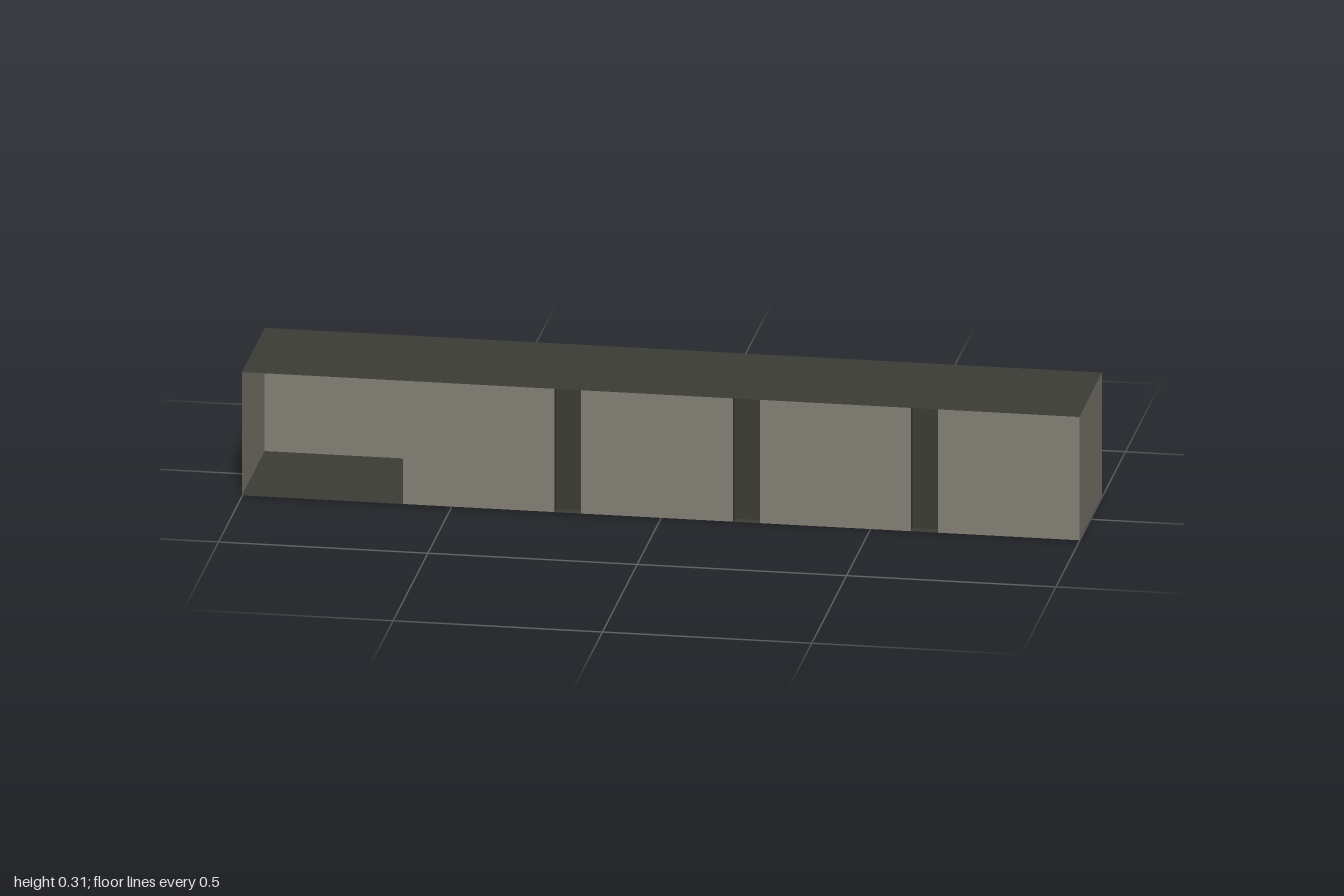
import * as THREE from 'three';

const HALF_X = 1, HALF_Z = 0.164, BASE = 0.003, TOP = 0.31;
const CHANNEL_DEPTH = 0.022;

export function createModel() {
  const model = new THREE.Group();
  model.name = 'containerShell';

  const wall = new THREE.MeshStandardMaterial({ color: 0x827e74, side: THREE.DoubleSide });
  wall.name = 'wall grey';
  const dark = new THREE.MeshStandardMaterial({ color: 0x3c3c36, side: THREE.DoubleSide });
  dark.name = 'dark frame';

  // Flat sheet placed in a parent group
  function sheet(name, parent, material, w, h, position, rotation = [0, 0, 0]) {
    const mesh = new THREE.Mesh(new THREE.PlaneGeometry(w, h), material);
    mesh.name = name;
    mesh.position.set(...position);
    mesh.rotation.set(...rotation);
    parent.add(mesh);
  }

  // Upright sheet between two x positions, facing out on the given side (1 front, -1 back)
  function upright(name, parent, material, x0, x1, z, side, y0 = BASE) {
    sheet(name, parent, material, x1 - x0, TOP - y0,
      [(x0 + x1) / 2, (y0 + TOP) / 2, z], [0, side > 0 ? 0 : Math.PI, 0]);
  }

  // Recessed dark channel between two wall panels
  function channel(name, x0, x1, side, y0) {
    const group = new THREE.Group();
    group.name = name;
    const z = side * (HALF_Z - CHANNEL_DEPTH);
    upright('channelBack', group, dark, x0, x1, z, side, y0);
    for (const [x, turn] of [[x0, 1], [x1, -1]]) {
      sheet('channelSide', group, dark, CHANNEL_DEPTH, TOP - y0,
        [x, (y0 + TOP) / 2, side * (HALF_Z - CHANNEL_DEPTH / 2)], [0, turn * Math.PI / 2, 0]);
    }
    model.add(group);
  }

  // Roof and floor
  sheet('roof', model, dark, 2 * HALF_X, 2 * HALF_Z, [0, TOP, 0], [-Math.PI / 2, 0, 0]);
  sheet('floor', model, dark, 2 * HALF_X, 2 * HALF_Z, [0, BASE, 0], [Math.PI / 2, 0, 0]);

  // End walls
  for (const s of [-1, 1]) {
    sheet('endWall', model, wall, 2 * HALF_Z, TOP - BASE,
      [s * HALF_X, (BASE + TOP) / 2, 0], [0, s * Math.PI / 2, 0]);
  }

  // Front panels, leaving the doorway at the -x end open
  for (const [a, b] of [[-0.615, -0.253], [-0.19, 0.173], [0.237, 0.598], [0.663, 1]]) {
    upright('frontPanel', model, wall, a, b, HALF_Z, 1);
  }
  for (const [a, b] of [[-0.253, -0.19], [0.173, 0.237], [0.598, 0.663]]) {
    channel('frontChannel', a, b, 1, 0);
  }

  // Back panels, leaving the second bay from the +x end open
  for (const [a, b] of [[-1, -0.641], [-0.577, -0.216], [-0.152, 0.21], [0.594, 1]]) {
    upright('backPanel', model, wall, a, b, -HALF_Z, -1);
  }
  for (const [a, b] of [[-0.641, -0.577], [-0.216, -0.152]]) {
    channel('backChannel', a, b, -1, BASE);
  }

  return model;
}
